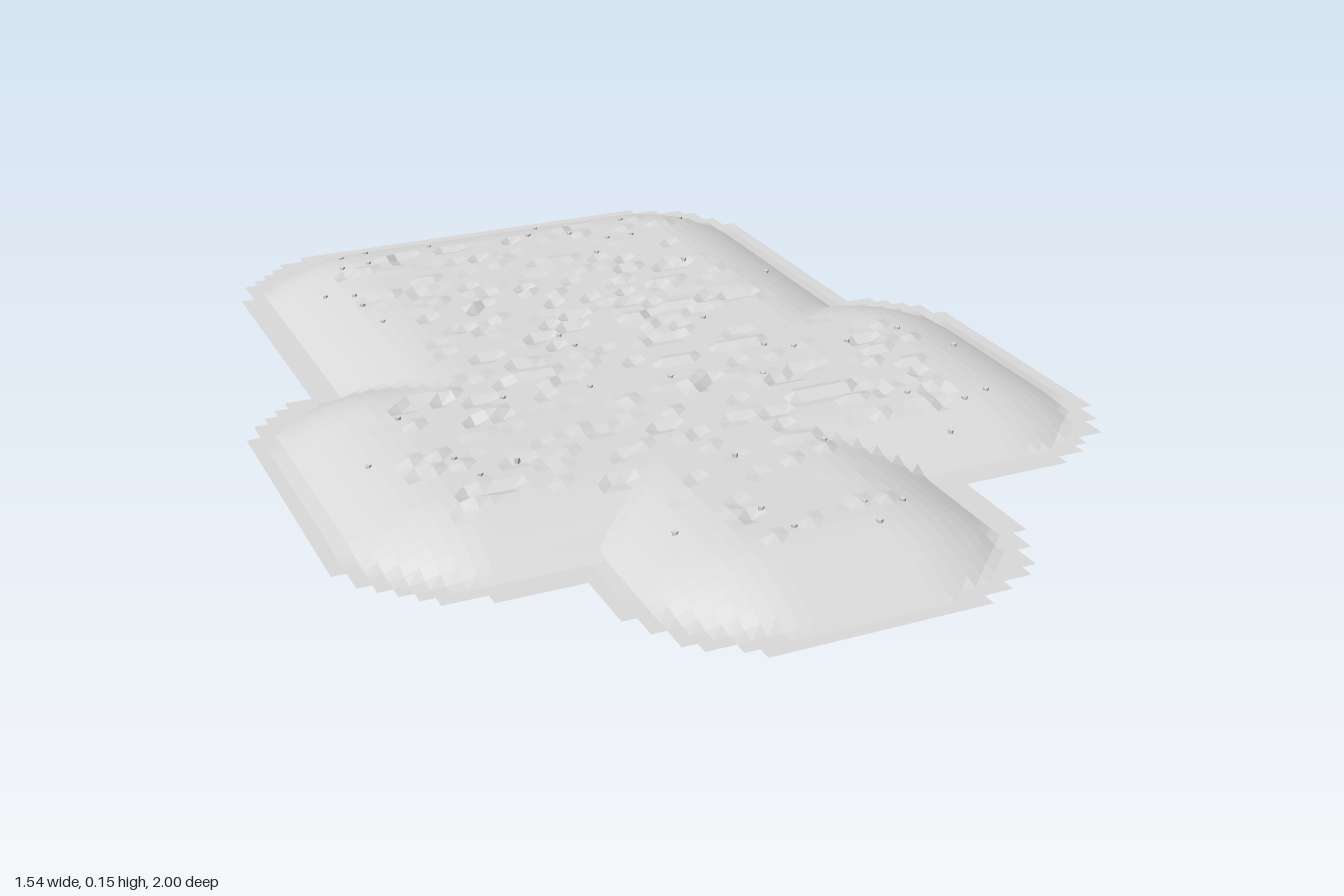
import * as THREE from 'three';
import { mergeGeometries } from 'three/addons/utils/BufferGeometryUtils.js';

const CELL = 2 / 74, NX = 57, NZ = 74;
const RIM_Y = 0.083, RISE = 0.061, RIM = 0.05, SLOPE = 0.21;

// Overlapping rounded lobes: x0, x1, z0, z1, corner radius
const LOBES = [
  [-0.6, 0.61, -1.005, 0.2, 0.28],
  [-0.775, 0.3, -0.25, 0.665, 0.27],
  [-0.3, 0.775, -0.28, 0.62, 0.28],
  [-0.39, 0.36, 0.1, 1.005, 0.27],
];

// Places where rootlets pass through the sheet: x, z pairs
const ROOTS = [
  -0.37, -0.82, -0.31, -0.83, -0.39, -0.74, -0.33, -0.74, -0.17, -0.8, -0.46, -0.63,
  -0.41, -0.58, -0.41, -0.52, -0.4, -0.41, 0.1, -0.83, 0.06, -0.77, 0.15, -0.74,
  0.22, -0.68, 0.28, -0.68, 0.3, -0.79, 0.45, -0.78, 0.16, -0.6, 0.32, -0.48,
  0.48, -0.39, -0.1, -0.18, -0.09, -0.12, 0.21, -0.15, -0.52, 0.07, -0.31, 0.06,
  -0.62, 0.21, -0.48, 0.27, -0.38, 0.32, -0.46, 0.35, -0.23, 0.24, -0.14, 0.08,
  0.02, 0.1, 0.19, 0.16, 0.26, 0.03, 0.31, 0.06, 0.42, 0.08, 0.55, 0.06,
  0.63, 0.15, 0.31, 0.26, 0.4, 0.35, 0.55, 0.39, 0.49, 0.41, 0.41, 0.49,
  0.16, 0.46, -0.02, 0.46, -0.23, 0.66, -0.07, 0.66, -0.05, 0.74, 0.1, 0.71,
  0.17, 0.72, 0.09, 0.78,
];

function seeded(seed) {
  return () => {
    seed = (seed * 1664525 + 1013904223) % 4294967296;
    return seed / 4294967296;
  };
}

// Depth inside the nearest rounded lobe
function depth(x, z) {
  return Math.max(...LOBES.map(([x0, x1, z0, z1, r]) => {
    const qx = Math.abs(x - (x0 + x1) / 2) - (x1 - x0) / 2 + r;
    const qz = Math.abs(z - (z0 + z1) / 2) - (z1 - z0) / 2 + r;
    return r - Math.hypot(Math.max(qx, 0), Math.max(qz, 0)) - Math.min(Math.max(qx, qz), 0);
  }));
}

function slopeAt(x, z) {
  return THREE.MathUtils.clamp((depth(x, z) - RIM) / SLOPE, 0, 1);
}

function domeHeight(x, z) {
  return RIM_Y + RISE * (1 - (1 - slopeAt(x, z)) ** 2);
}

// Domed sheet with a flat, stepped rim and a rough plateau
function sheetGeometry() {
  const rand = seeded(11), pos = [], index = [];
  let bump = 0;
  for (let j = 0; j <= NZ; j++) {
    for (let i = 0; i <= NX; i++) {
      const x = (i - NX / 2) * CELL, z = (j - NZ / 2) * CELL;
      // bumps and dents sometimes run on into the next point
      const chance = rand(), size = rand();
      if (chance < 0.08) bump = 0.008 * size;
      else if (chance < 0.17) bump = -0.011 * size;
      else if (chance > 0.45) bump = 0;
      pos.push(x, domeHeight(x, z) + (slopeAt(x, z) > 0.72 ? bump : 0), z);
    }
  }
  for (let j = 0; j < NZ; j++) {
    for (let i = 0; i < NX; i++) {
      const x = (i + 0.5 - NX / 2) * CELL, z = (j + 0.5 - NZ / 2) * CELL;
      if (depth(x, z) < 0) continue;
      const a = j * (NX + 1) + i, b = a + 1, c = a + NX + 1, d = c + 1;
      index.push(a, c, b, b, c, d);
    }
  }
  const geo = new THREE.BufferGeometry();
  geo.setAttribute('position', new THREE.Float32BufferAttribute(pos, 3));
  geo.setIndex(index);
  const flat = geo.toNonIndexed();
  flat.computeVertexNormals();
  return flat;
}

// Thin tapered strand that bends as it hangs down to the given height
function rootGeometry(x, z, bottom, bendX, bendZ) {
  const top = domeHeight(x, z) + 0.005, length = top - bottom;
  const geo = new THREE.CylinderGeometry(0.006, 0.0015, length, 5, 6);
  const p = geo.attributes.position;
  for (let i = 0; i < p.count; i++) {
    const t = 0.5 - p.getY(i) / length;
    p.setX(i, p.getX(i) + bendX * t * t);
    p.setZ(i, p.getZ(i) + bendZ * t * t);
  }
  geo.translate(x, bottom + length / 2, z);
  geo.computeVertexNormals();
  return geo;
}

export function createModel() {
  const group = new THREE.Group();
  group.name = 'floatingMat';

  const paleGrey = new THREE.MeshStandardMaterial({ color: 0xdadada, side: THREE.DoubleSide });
  paleGrey.name = 'paleGrey';

  const sheet = new THREE.Mesh(sheetGeometry(), paleGrey);
  sheet.name = 'lobedSheet';
  group.add(sheet);

  const rand = seeded(5), strands = [];
  for (let i = 0; i < ROOTS.length; i += 2) {
    const bottom = i === 48 ? 0 : 0.015 + 0.055 * rand();
    strands.push(rootGeometry(ROOTS[i], ROOTS[i + 1], bottom,
      (rand() - 0.35) * 0.05, (rand() - 0.5) * 0.05));
  }
  const roots = new THREE.Mesh(mergeGeometries(strands), paleGrey);
  roots.name = 'hangingRoots';
  group.add(roots);

  return group;
}
